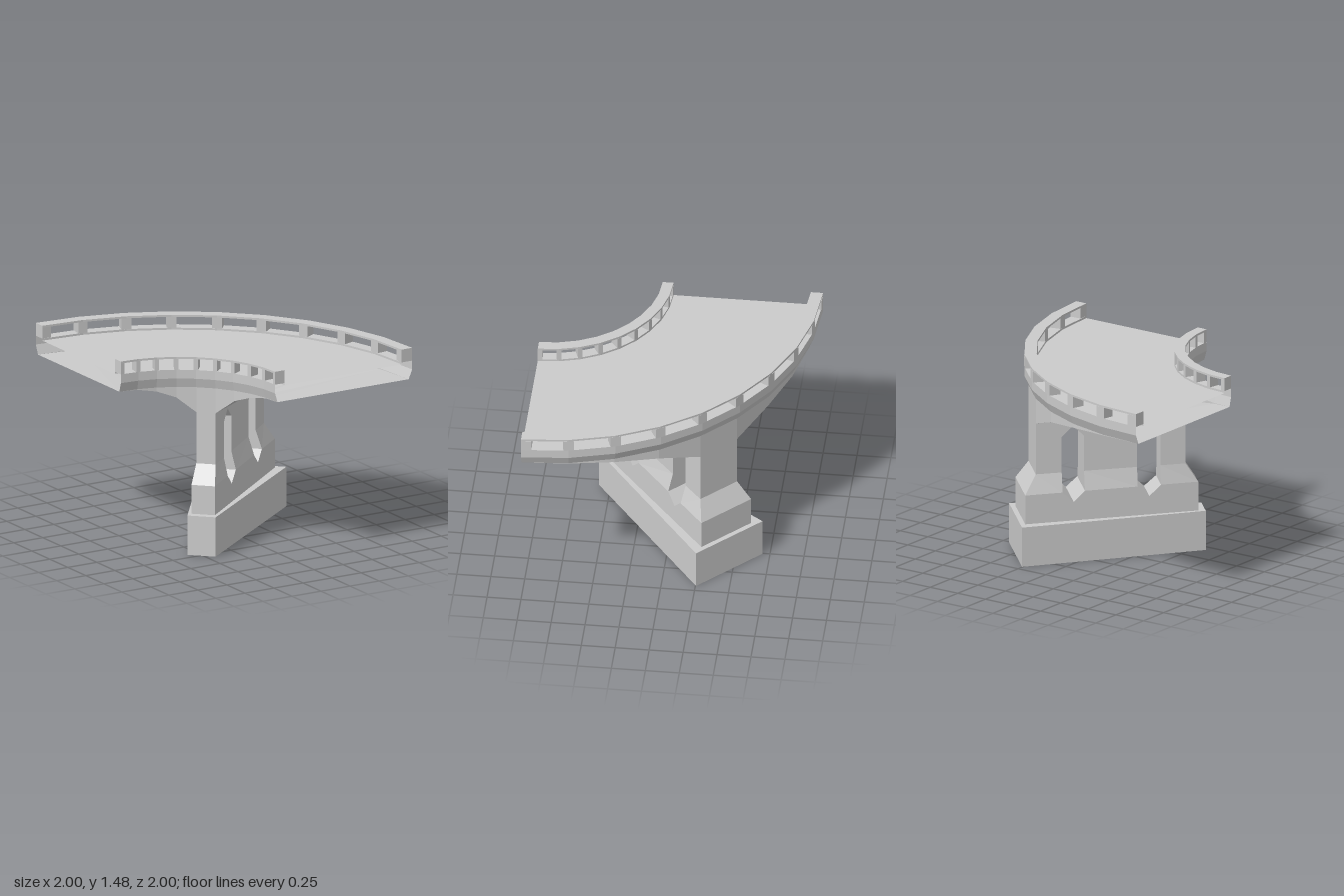
import * as THREE from 'three';

const material = new THREE.MeshStandardMaterial({
  color: 0xcccccc, flatShading: true, side: THREE.DoubleSide,
});

function addMesh(parent, name, geometry) {
  const mesh = new THREE.Mesh(geometry, material);
  mesh.name = name;
  parent.add(mesh);
}

// Sweeps a counter-clockwise (radius, height) profile round the corner of the
// curve; profileAt(i) gives the cross-section at the i-th angle (degrees).
function sweep(profileAt, angles, capped) {
  const rings = angles.map((deg, i) => {
    const t = THREE.MathUtils.degToRad(deg);
    return profileAt(i).map(([r, y]) => [-1 + r * Math.sin(t), y, 1 - r * Math.cos(t)]);
  });
  const pos = [];
  const tri = (...pts) => pts.forEach((p) => pos.push(...p));
  for (let i = 0; i + 1 < rings.length; i++) {
    const p = rings[i], q = rings[i + 1];
    for (let j = 0; j < p.length; j++) {
      const k = (j + 1) % p.length;
      tri(p[j], p[k], q[k]);
      tri(p[j], q[k], q[j]);
    }
  }
  if (capped) {
    const p = rings[0], q = rings[rings.length - 1];
    for (let j = 1; j + 1 < p.length; j++) {
      tri(p[0], p[j + 1], p[j]);
      tri(q[0], q[j], q[j + 1]);
    }
  }
  const geometry = new THREE.BufferGeometry();
  geometry.setAttribute('position', new THREE.Float32BufferAttribute(pos, 3));
  geometry.computeVertexNormals();
  return geometry;
}

const box = (r0, r1, y0, y1) => () => [[r0, y0], [r1, y0], [r1, y1], [r0, y1]];

// Plan outlines of the pier: inner end, its half width, outer end, its half width
const FOOT = [0.693, 0.106, 2.086, 0.311];
const PLINTH = [0.746, 0.088, 2.05, 0.233];
const SHAFT = [0.837, 0.0732, 1.9625, 0.1717];

// A hollow storey of the pier: a side outline (distance, height) widened to the
// plan at its height, without the level faces between storeys.
function storey(outline, y0, plan0, y1, plan1) {
  const shape = new THREE.Shape(outline.map(([s, y]) => new THREE.Vector2(s, y)));
  const geometry = new THREE.ExtrudeGeometry(shape, { depth: 1, bevelEnabled: false });
  const p = geometry.attributes.position;
  for (let i = 0; i < p.count; i++) {
    const t = (p.getY(i) - y0) / (y1 - y0);
    const [s0, h0, s1, h1] = plan0.map((v, k) => v + (plan1[k] - v) * t);
    const half = h0 + ((h1 - h0) * (p.getX(i) - s0)) / (s1 - s0);
    p.setZ(i, (p.getZ(i) * 2 - 1) * half);
  }
  geometry.computeVertexNormals();
  const n = geometry.attributes.normal;
  const kept = [];
  for (let i = 0; i < p.count; i += 3) {
    if (Math.abs(n.getY(i)) > 0.99) continue;
    for (let j = i; j < i + 3; j++) kept.push(p.getX(j), p.getY(j), p.getZ(j));
  }
  const result = new THREE.BufferGeometry();
  result.setAttribute('position', new THREE.Float32BufferAttribute(kept, 3));
  result.computeVertexNormals();
  return result;
}

// Level ledge between two plans
function ledge(outer, inner, y) {
  const corners = ([s0, h0, s1, h1]) =>
    [[s0, -h0], [s1, -h1], [s1, h1], [s0, h0]].map(([x, z]) => new THREE.Vector2(x, z));
  const shape = new THREE.Shape(corners(outer));
  shape.holes.push(new THREE.Path(corners(inner)));
  return new THREE.ShapeGeometry(shape).rotateX(-Math.PI / 2).translate(0, y, 0);
}

function createPier() {
  const pier = new THREE.Group();
  pier.name = 'pier';
  pier.position.set(-1, 0, 1);
  pier.rotation.y = Math.PI / 4;
  const slots = [[1.027, 1.202], [1.6, 1.768]];
  const rect = (a, b, y0, y1) => [[a, y0], [b, y0], [b, y1], [a, y1]];

  addMesh(pier, 'footing', storey(rect(FOOT[0], FOOT[2], 0, 0.3), 0, FOOT, 0.3, FOOT));
  addMesh(pier, 'footingLedge', ledge(FOOT, PLINTH, 0.3));

  // Plinth with the pointed lower ends of the slots
  const notches = [...slots].reverse().flatMap(([a, b]) => [[b, 0.52], [(a + b) / 2, 0.44], [a, 0.52]]);
  addMesh(pier, 'plinth', storey(
    [[PLINTH[0], 0.3], [PLINTH[2], 0.3], [PLINTH[2], 0.52], ...notches, [PLINTH[0], 0.52]],
    0.3, PLINTH, 0.52, PLINTH));

  // Sloping shoulder, split by the slots
  const low = [PLINTH[0], ...slots.flat(), PLINTH[2]];
  const high = [SHAFT[0], ...slots.flat(), SHAFT[2]];
  for (let i = 0; i < 6; i += 2) {
    addMesh(pier, 'shoulder', storey(
      [[low[i], 0.52], [low[i + 1], 0.52], [high[i + 1], 0.66], [high[i], 0.66]],
      0.52, PLINTH, 0.66, SHAFT));
  }

  // Shaft with the pointed heads of the slots
  const heads = slots.flatMap(([a, b]) =>
    [[a, 0.66], [a, 0.93], [(a + b) / 2, 1.01], [b, 0.93], [b, 0.66]]);
  addMesh(pier, 'shaft', storey(
    [[SHAFT[0], 0.66], ...heads, [SHAFT[2], 0.66], [SHAFT[2], 1.05], [SHAFT[0], 1.05]],
    0.66, SHAFT, 1.05, SHAFT));
  return pier;
}

export function createModel() {
  const model = new THREE.Group();
  model.name = 'curvedBridge';
  const angles = Array.from({ length: 10 }, (_, i) => i * 10);

  // Open-ended deck whose underside arches down to the pier
  const under = [1.24, 1.235, 1.21, 1.16, 1.05];
  const deckProfile = (i) => {
    const y = under[Math.min(i, 9 - i)];
    return [
      [0.9, 1.362], [0.9, 1.377], [0.82, 1.377], [0.82, 1.31], [0.84, 1.24], [0.84, y],
      [1.97, y], [1.97, 1.24], [2, 1.31], [2, 1.377], [1.91, 1.377], [1.91, 1.362],
    ];
  };
  addMesh(model, 'deck', sweep(deckProfile, angles, false));

  // Parapets: a handrail on short posts along both edges
  for (const [name, r0, r1] of [['inner', 0.82, 0.9], ['outer', 1.91, 2]]) {
    const parapet = new THREE.Group();
    parapet.name = name + 'Parapet';
    addMesh(parapet, 'handrail', sweep(box(r0, r1, 1.46, 1.475), angles, true));
    for (const a of angles) {
      const mid = THREE.MathUtils.clamp(a, 1.1, 88.9);
      addMesh(parapet, 'post', sweep(box(r0, r1, 1.377, 1.46), [mid - 1.1, mid + 1.1], true));
    }
    model.add(parapet);
  }

  model.add(createPier());
  return model;
}
